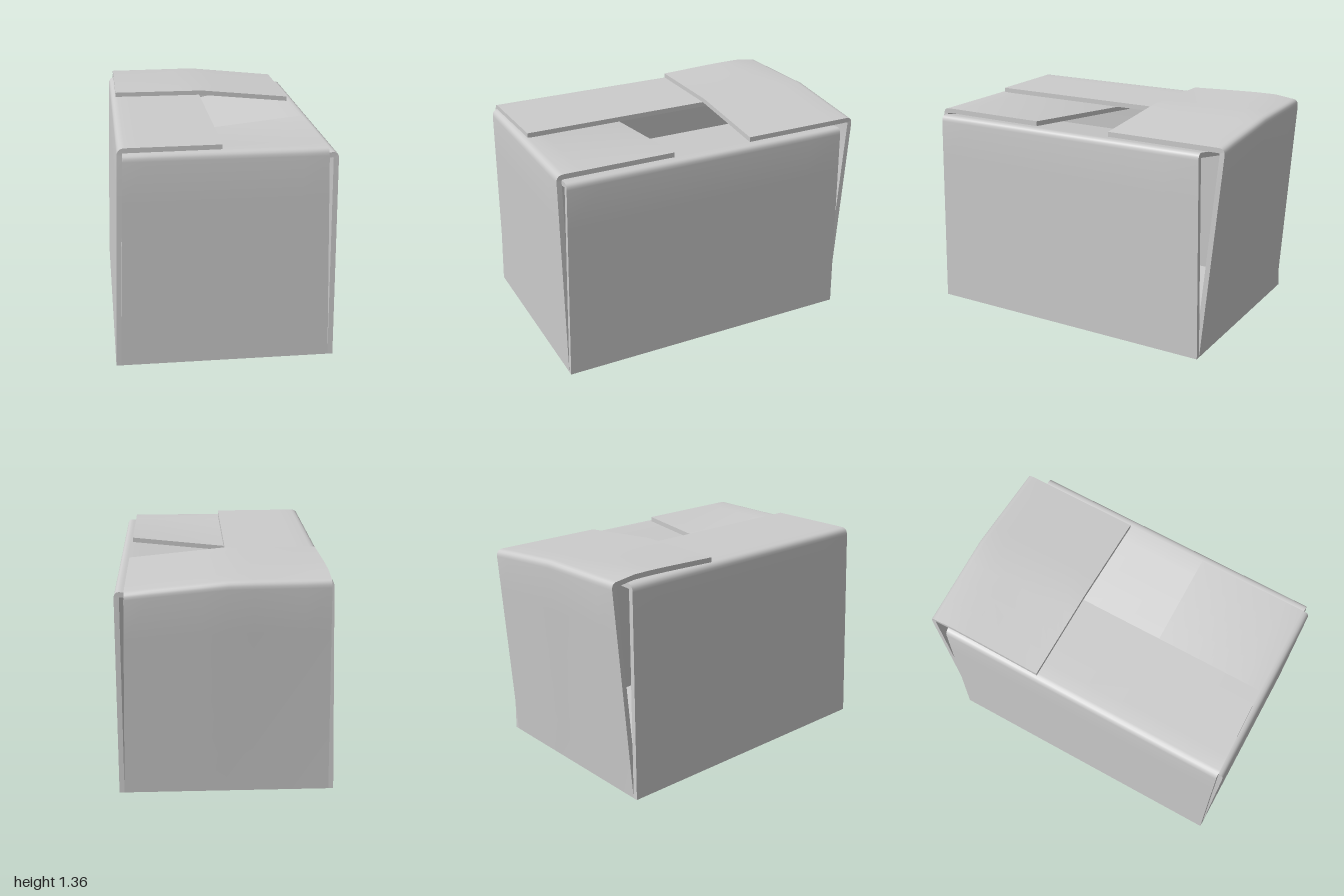
import * as THREE from 'three';
import { toCreasedNormals } from 'three/addons/utils/BufferGeometryUtils.js';

const T = 0.03; // board thickness
const mat = new THREE.MeshStandardMaterial({ color: 0xcccccc, side: THREE.DoubleSide });
const lerp = THREE.MathUtils.lerp;

// Cross profile of a wall with its folded flap, as [outward, height, wall 0..1, flap 0..1]
function profile({ bottom, top, height, flapEnd, flapEndY }) {
  const rows = [], r = 0.045, wallY = height - r;
  const end = new THREE.Vector2(flapEnd, flapEndY);
  const start = new THREE.Vector2(top - r, lerp(height, flapEndY, r / (top - flapEnd)));
  const wallTop = new THREE.Vector2(lerp(bottom, top, wallY / height), wallY);
  for (let i = 0; i <= 5; i++) rows.push([lerp(bottom, wallTop.x, i / 5), wallY * i / 5, wallY / height * i / 5, 0]);
  const bend = new THREE.QuadraticBezierCurve(wallTop, new THREE.Vector2(top, height), start);
  for (let i = 1; i <= 5; i++) {
    const p = bend.getPoint(i / 5);
    rows.push([p.x, p.y, 1, 0]);
  }
  for (let i = 1; i <= 6; i++) rows.push([lerp(start.x, end.x, i / 6), lerp(start.y, end.y, i / 6), 1, i / 6]);
  return rows;
}

// Thick folded sheet facing +z, then turned about y to its side of the box
function foldedPanel(name, o) {
  const rows = profile(o), n = 8, pos = [], index = [], ring = 2 * (n + 1);
  const warp = o.warp || (() => [0, 0]);
  rows.forEach(([out, y, wall, flap], i) => {
    const a = rows[Math.max(i - 1, 0)], b = rows[Math.min(i + 1, rows.length - 1)];
    const len = Math.hypot(b[0] - a[0], b[1] - a[1]);
    const inO = -(b[1] - a[1]) / len * T, inY = (b[0] - a[0]) / len * T;
    const from = lerp(lerp(o.low[0], o.high[0], wall), o.tip[0], flap);
    const to = lerp(lerp(o.low[1], o.high[1], wall), o.tip[1], flap);
    for (let j = 0; j < ring; j++) {
      const inner = j > n, s = lerp(from, to, (inner ? ring - 1 - j : j) / n);
      const [dOut, dY] = warp(s, wall, flap);
      pos.push(s, Math.max(0, y + dY + (inner ? inY : 0)), out + dOut + (inner ? inO : 0));
    }
    if (i) for (let j = 0; j < ring; j++) {
      const k = (j + 1) % ring, p = (i - 1) * ring, q = i * ring;
      index.push(p + j, p + k, q + k, p + j, q + k, q + j);
    }
  });
  // Close the foot and the flap tip
  const last = (rows.length - 1) * ring;
  for (let j = 0; j < n; j++) {
    const a = j, b = j + 1, c = ring - 2 - j, d = ring - 1 - j;
    index.push(a, d, c, a, c, b);
    index.push(last + a, last + b, last + c, last + a, last + c, last + d);
  }
  const geo = new THREE.BufferGeometry();
  geo.setAttribute('position', new THREE.Float32BufferAttribute(pos, 3));
  geo.setIndex(index);
  geo.rotateY(o.turn);
  const mesh = new THREE.Mesh(toCreasedNormals(geo, 0.6), mat);
  mesh.name = name;
  return mesh;
}

export function createModel() {
  const box = new THREE.Group();
  box.name = 'openCardboardBox';

  // Floor, set between the walls
  const floor = new THREE.Mesh(new THREE.BoxGeometry(1.23, T, 1.825), mat);
  floor.position.set(0, T / 2, 0.0575);
  floor.name = 'floor';
  box.add(floor);

  // Front wall, its flap sagging towards the right
  box.add(foldedPanel('frontWallAndFlap', {
    turn: 0, bottom: 1, top: 1, height: 1.285, flapEnd: 0.27, flapEndY: 1.283,
    low: [-0.615, 0.615], high: [-0.575, 0.575], tip: [-0.575, 0.575],
    warp: (s, wall, flap) => [0, -0.12 * flap * (0.575 - s) / 1.15],
  }));

  // Left wall, its flap tilted down into the box
  box.add(foldedPanel('leftWallAndFlap', {
    turn: Math.PI / 2, bottom: 0.645, top: 0.638, height: 1.257, flapEnd: 0.01, flapEndY: 1.14,
    low: [-1, 0.885], high: [-0.965, 0.86], tip: [-0.955, 0.85],
  }));

  // Right wall, its flap lying level over the front flap
  box.add(foldedPanel('rightWallAndFlap', {
    turn: -Math.PI / 2, bottom: 0.645, top: 0.605, height: 1.312, flapEnd: 0.02, flapEndY: 1.312,
    low: [-0.885, 1], high: [-0.86, 0.968], tip: [-0.85, 0.955],
  }));

  // Back wall leaning outwards, its top flap bent along the middle
  box.add(foldedPanel('backWallAndFlap', {
    turn: Math.PI, bottom: 0.885, top: 1, height: 1.34, flapEnd: 0.24, flapEndY: 1.34,
    low: [-0.615, 0.615], high: [-0.575, 0.575], tip: [-0.575, 0.575],
    warp: (s, wall, flap) => [
      (1 - flap) * wall * (s > 0 ? -0.02 * s / 0.575 : 0.008 * s / 0.575),
      wall * (s < 0 ? 0.057 * s / 0.575 : 0.016 * Math.sin(Math.PI * Math.sqrt(flap)) * s / 0.575),
    ],
  }));

  return box;
}
